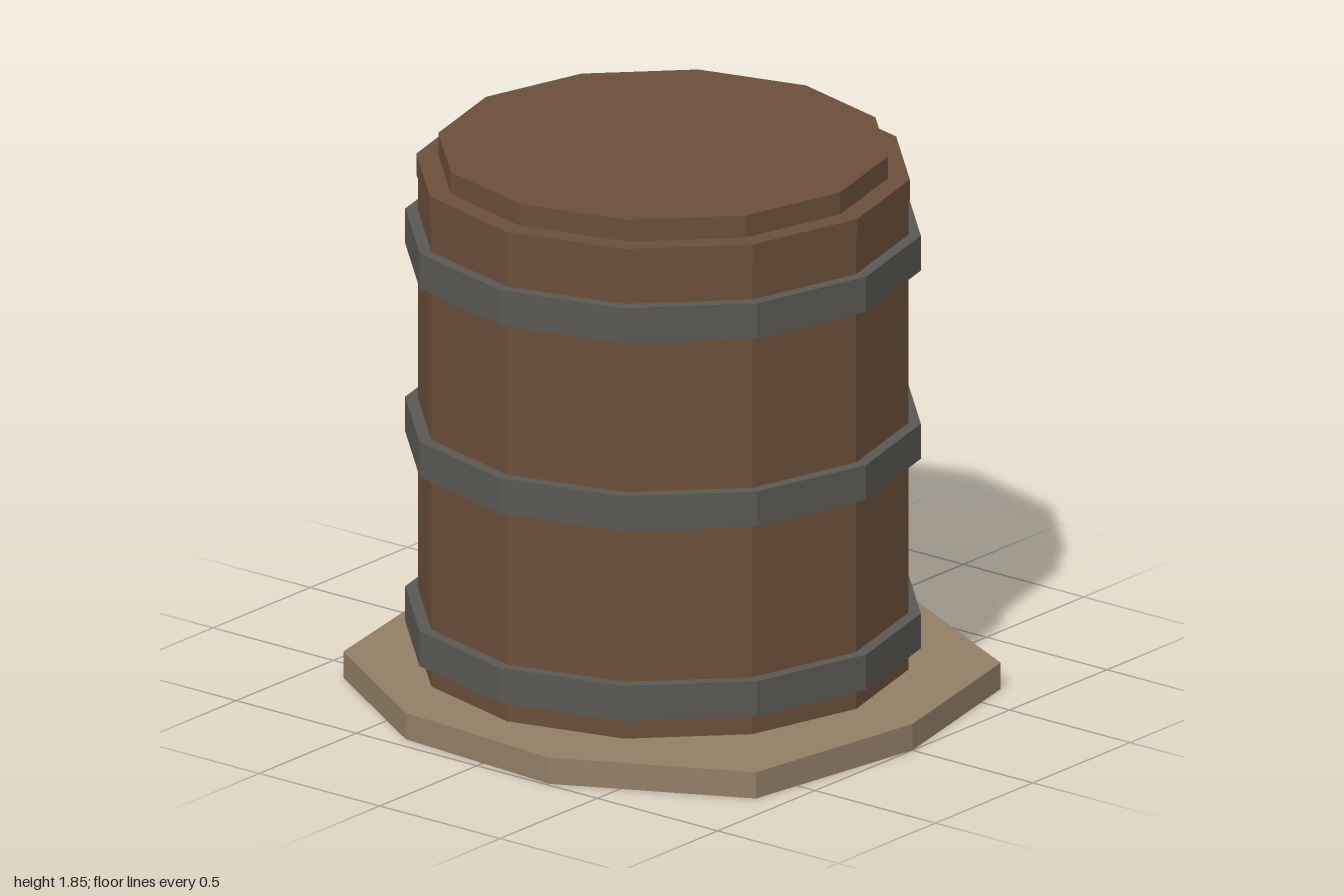
import * as THREE from 'three';

const material = (name, color) => {
  const m = new THREE.MeshStandardMaterial({ color, flatShading: true });
  m.name = name;
  return m;
};

export function createModel() {
  const wood = material('brown wood', 0x6b4f3a);
  const iron = material('grey iron', 0x5a5853);
  const stone = material('tan stone', 0x927e66);

  const group = new THREE.Group();
  group.name = 'barrel';
  const centreX = -0.035;

  // Twelve-sided solid between two heights
  const drum = (name, radius, bottom, top, mat) => {
    const geometry = new THREE.CylinderGeometry(radius, radius, top - bottom, 12);
    const mesh = new THREE.Mesh(geometry, mat);
    mesh.name = name;
    mesh.position.set(centreX, (bottom + top) / 2, 0);
    group.add(mesh);
  };

  // Irregular slab under the barrel, outline as x, z
  const outline = [
    [-0.36, -1], [-0.83, -0.575], [-1, 0], [-0.87, 0.61], [-0.34, 0.945],
    [0.29, 0.99], [0.9, 0.68], [1, 0], [0.85, -0.64], [0.27, -0.93],
  ];
  const shape = new THREE.Shape(outline.map(([x, z]) => new THREE.Vector2(x, -z)));
  const slab = new THREE.ExtrudeGeometry(shape, { depth: 0.09, bevelEnabled: false });
  slab.rotateX(-Math.PI / 2);
  const base = new THREE.Mesh(slab, stone);
  base.name = 'baseSlab';
  group.add(base);

  // Body, rim and lid
  drum('body', 0.802, 0.04, 1.76, wood);
  drum('rim', 0.807, 1.7, 1.77, wood);
  drum('lid', 0.735, 1.75, 1.845, wood);

  // Three hoops
  [0.165, 0.815, 1.46].forEach((y, i) => drum(`hoop${i + 1}`, 0.843, y, y + 0.12, iron));

  return group;
}
